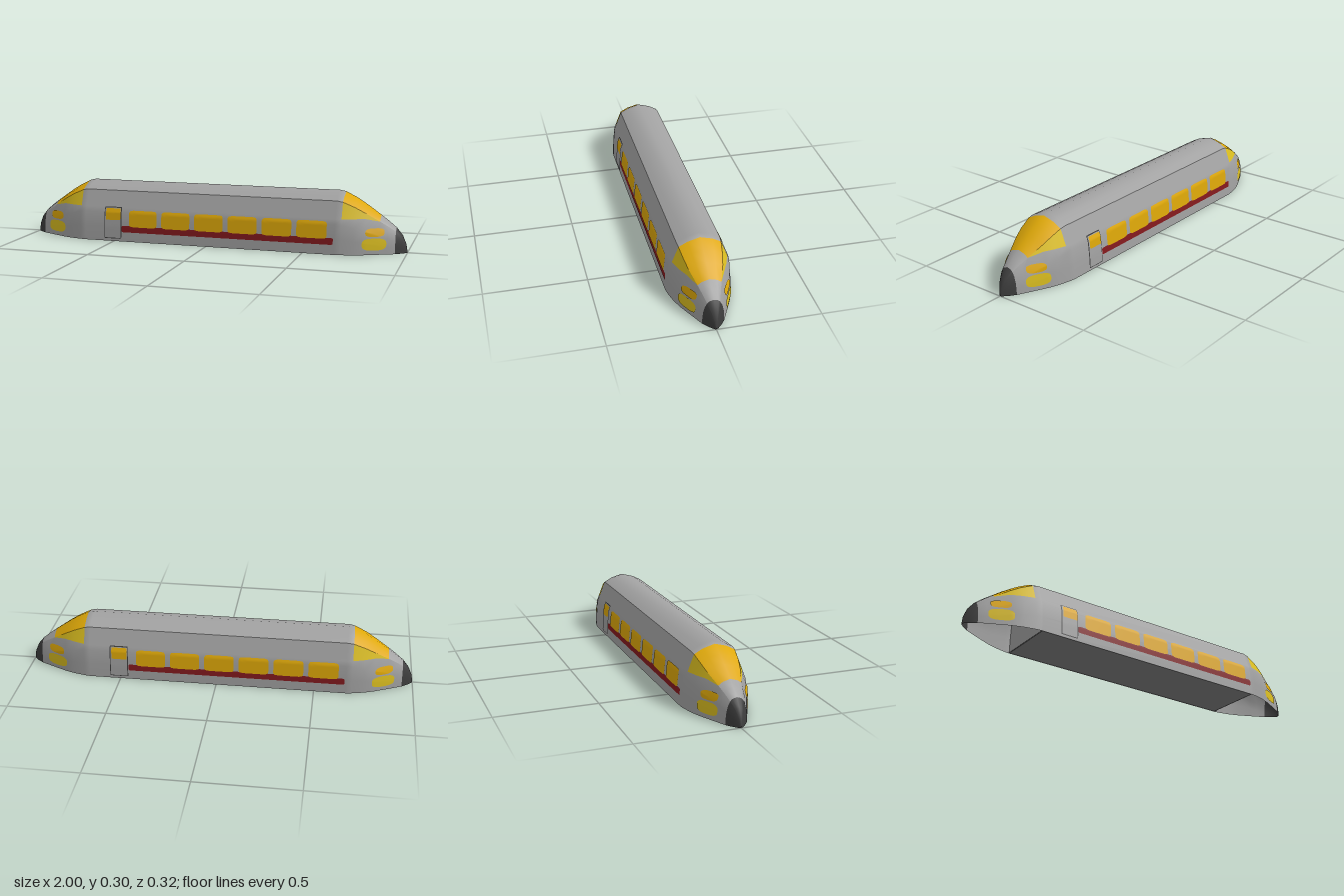
import * as THREE from 'three';

const mat = (name, color, side = THREE.FrontSide) => {
  const m = new THREE.MeshStandardMaterial({ color, side });
  m.name = name;
  return m;
};

// Nose stations: x, height, half width
const NOSE = [
  [0.66, 0.3, 0.157], [0.69, 0.294, 0.153], [0.75, 0.264, 0.139], [0.8, 0.232, 0.121],
  [0.868, 0.184, 0.089], [0.905, 0.157, 0.071], [0.944, 0.125, 0.052],
  [0.975, 0.087, 0.029], [0.993, 0.044, 0.011], [1, 0.004, 0.001],
];
const STATIONS = [...NOSE.map(([x, h, w]) => [-x, h, w]).reverse(), ...NOSE];
// Cross-section: share of height, share of half width
const SECTION = [[0, 1], [0.25, 0.98], [0.5, 0.936], [0.867, 0.662], [0.945, 0.38], [1, 0]];
const CORNER = 0.867;
const CAB_END = 0.868;

const interpolate = (table, x, k) => {
  let i = 1;
  while (i < table.length - 1 && table[i][0] < x) i++;
  const a = table[i - 1], b = table[i];
  const t = THREE.MathUtils.clamp((x - a[0]) / (b[0] - a[0]), 0, 1);
  return a[k] + (b[k] - a[k]) * t;
};
// The faceted section turns into a round arch towards the tip
const widthAt = (u, x) => {
  const arch = Math.pow(1 - Math.min(u, 1) ** 2.4, 1 / 2.4);
  const round = THREE.MathUtils.clamp((Math.abs(x) - 0.8) / 0.14, 0, 1);
  return THREE.MathUtils.lerp(interpolate(SECTION, u, 1), arch, round);
};
const hullZ = (x, y) => interpolate(STATIONS, x, 2) * widthAt(y / interpolate(STATIONS, x, 1), x);

// Loft over the stations; rows(h) gives [u, side] pairs, paint(x, row) a material index
function loft(rows, paint) {
  const pos = [], buckets = [[], [], [], []];
  let n = 0;
  STATIONS.forEach(([x, h, w]) => {
    const r = rows(h);
    n = r.length;
    r.forEach(([u, s]) => pos.push(x, u * h, s * w * widthAt(u, x)));
  });
  for (let i = 0; i < STATIONS.length - 1; i++) {
    const xm = Math.abs(STATIONS[i][0] + STATIONS[i + 1][0]) / 2;
    for (let j = 0; j < n - 1; j++) {
      const a = i * n + j, b = a + n;
      buckets[paint(xm, j)].push(a, b, b + 1, a, b + 1, a + 1);
    }
  }
  const g = new THREE.BufferGeometry();
  g.setAttribute('position', new THREE.Float32BufferAttribute(pos, 3));
  g.setIndex(buckets.flat());
  let start = 0;
  buckets.forEach((b, k) => {
    if (b.length) g.addGroup(start, b.length, k);
    start += b.length;
  });
  g.computeVertexNormals();
  return g;
}

// Plate laid onto the side of the hull; a higher power gives squarer corners
function plate(cx, cy, w, h, power, lift) {
  const g = new THREE.RingGeometry(0.001, 1, 40, 6);
  const p = g.attributes.position;
  for (let i = 0; i < p.count; i++) {
    const r = Math.hypot(p.getX(i), p.getY(i)), c = p.getX(i) / r, s = p.getY(i) / r;
    const k = r / Math.pow(Math.abs(c) ** power + Math.abs(s) ** power, 1 / power);
    const x = cx + c * k * w / 2, y = cy + s * k * h / 2;
    p.setXYZ(i, x, y, hullZ(x, y) + lift);
  }
  g.computeVertexNormals();
  return g;
}

export function createModel() {
  const grey = mat('bodyGrey', 0xa2a2a2, THREE.DoubleSide);
  const dark = mat('darkGrey', 0x3e3e3e, THREE.DoubleSide);
  const amber = mat('amberGlass', 0xdea808, THREE.DoubleSide);
  const yellow = mat('yellowGlass', 0xdcbf20, THREE.DoubleSide);
  const red = mat('stripeRed', 0x861a1e);
  const under = mat('floorGrey', 0x7e7e7e, THREE.DoubleSide);
  const palette = [grey, dark, amber, yellow];

  const train = new THREE.Group();
  train.name = 'train';
  const add = (parent, name, geometry, material) => {
    const m = new THREE.Mesh(geometry, material);
    m.name = name;
    parent.add(m);
    return m;
  };

  // Hull skin: roof with windscreens, walls with cab side windows, dark nose tips
  const inCab = (x) => x > 0.69 && x < CAB_END;
  const roofRows = () => [[CORNER, 1], [0.945, 1], [1, 1], [0.945, -1], [CORNER, -1]];
  const wallRows = (h) => {
    const sill = h > 0.18 ? Math.min(0.175 / h, CORNER) : 0.72;
    return [0, 0.25, 0.5, sill, CORNER].map((u) => [u, 1]);
  };
  add(train, 'roof', loft(roofRows, (x) => (x > 0.944 ? 1 : inCab(x) ? 2 : 0)), palette);
  const wall = loft(wallRows, (x, j) => (x > 0.944 ? 1 : inCab(x) && j === 3 ? 3 : 0));

  // Floor and bulkheads
  const floor = add(train, 'floor', new THREE.PlaneGeometry(1.32, 0.312), under);
  floor.rotation.x = Math.PI / 2;
  floor.position.y = 0.002;
  const outline = [...SECTION.map(([u, w]) => [w, u]), ...SECTION.map(([u, w]) => [-w, u]).reverse()];
  const bulkheadShape = new THREE.Shape(outline.map(([w, u]) => new THREE.Vector2(w * 0.155, u * 0.298)));
  for (const s of [-1, 1]) {
    const b = add(train, 'bulkhead', new THREE.ShapeGeometry(bulkheadShape), grey);
    b.position.x = s * 0.658;
    b.rotation.y = s * Math.PI / 2;
  }

  // Both sides carry the same fittings, turned half a circle
  for (const turn of [0, Math.PI]) {
    const side = new THREE.Group();
    side.name = turn ? 'backSide' : 'frontSide';
    side.rotation.y = turn;
    train.add(side);
    add(side, 'wall', wall, palette);

    // Passenger windows above the stripe
    add(side, 'stripe', plate(0.098, 0.066, 1.11, 0.034, 60, 0.0015), red);
    for (let i = 0; i < 6; i++) {
      add(side, 'window', plate(-0.34 + i * 0.177, 0.121, 0.152, 0.086, 9, 0.003), amber);
    }

    // Flush door with frame and window
    const door = new THREE.Group();
    door.name = 'door';
    side.add(door);
    add(door, 'doorFrame', plate(-0.506, 0.096, 0.095, 0.165, 60, 0.0015), dark);
    add(door, 'doorPanel', plate(-0.506, 0.096, 0.086, 0.156, 60, 0.003), grey);
    add(door, 'doorWindow', plate(-0.504, 0.141, 0.08, 0.06, 20, 0.0045), amber);

    // Lamps at both ends
    for (const s of [-1, 1]) {
      add(side, 'upperLamp', plate(s * 0.849, 0.11, 0.088, 0.041, 3, 0.004), amber);
      add(side, 'lowerLamp', plate(s * 0.847, 0.052, 0.113, 0.059, 3, 0.004), yellow);
    }
  }
  return train;
}
